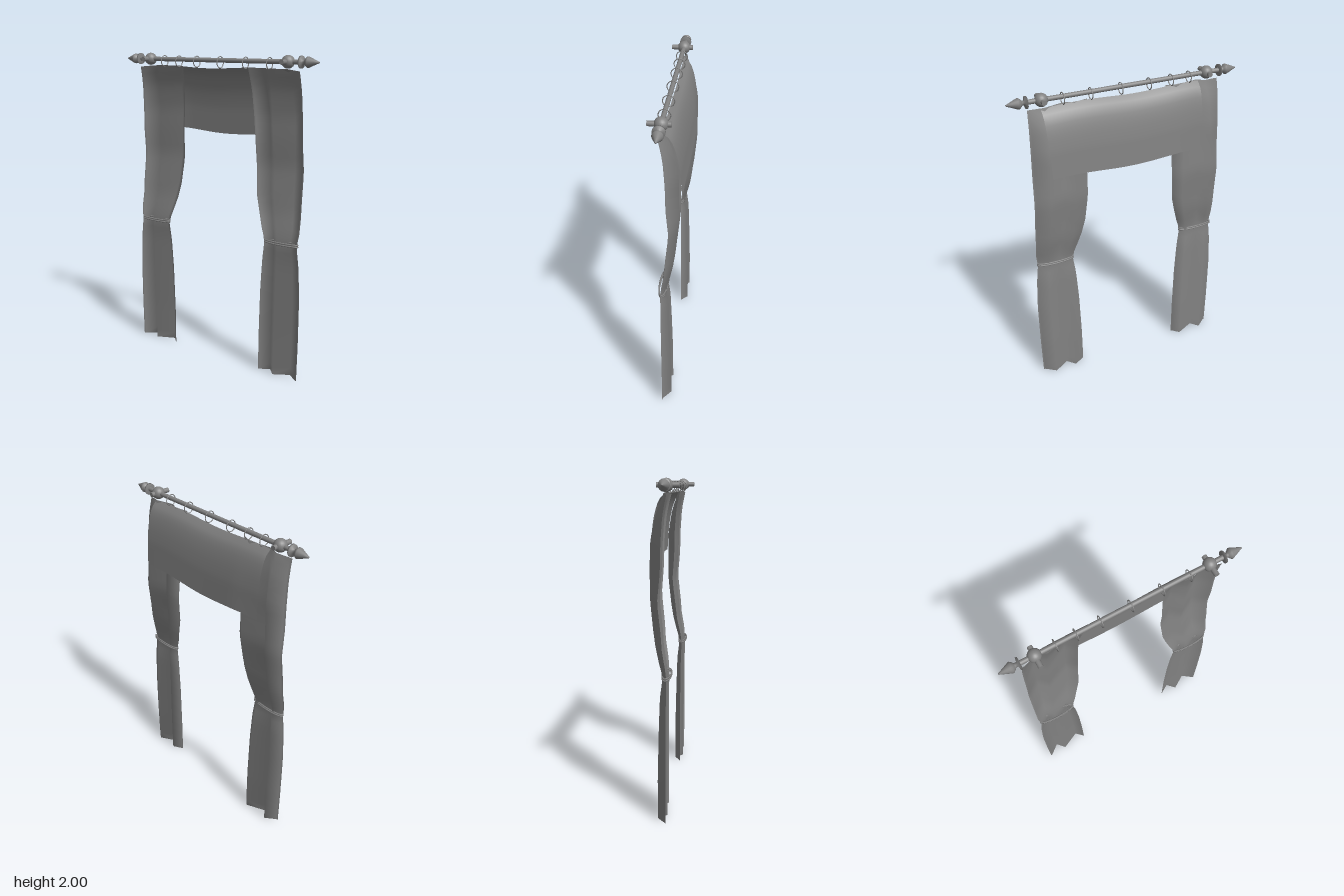
import * as THREE from 'three';

const cloth = new THREE.MeshStandardMaterial({ color: 0x828282, side: THREE.DoubleSide });
const solid = new THREE.MeshStandardMaterial({ color: 0x828282 });
const ROD_Y = 1.96, ROD_Z = 0.018;
const { lerp } = THREE.MathUtils;

// Piecewise-linear lookup in a list of [key, value, value...] rows with ascending keys
function sample(rows, t, col = 1) {
  if (t <= rows[0][0]) return rows[0][col];
  for (let i = 1; i < rows.length; i++) {
    const a = rows[i - 1], b = rows[i];
    if (t <= b[0]) return lerp(a[col], b[col], (t - a[0]) / (b[0] - a[0]));
  }
  return rows[rows.length - 1][col];
}

function add(group, name, geometry, material, x = 0, y = 0, z = 0) {
  const mesh = new THREE.Mesh(geometry, material);
  mesh.name = name;
  mesh.position.set(x, y, z);
  group.add(mesh);
  return mesh;
}

// Cloth sheet from a rule point(column, row) -> [x, y, z]
function sheet(columns, rows, point) {
  const g = new THREE.PlaneGeometry(1, 1, columns, rows);
  const p = g.attributes.position;
  for (let j = 0; j <= rows; j++)
    for (let i = 0; i <= columns; i++) p.setXYZ(j * (columns + 1) + i, ...point(i, j));
  g.computeVertexNormals();
  return g;
}

// Curtain by height: y, outer x, inner x, front z, back z
const DRAPE = [
  [0, 0.638, 0.348, 0.03, -0.035],
  [0.25, 0.643, 0.349, 0.03, -0.035],
  [0.55, 0.644, 0.357, 0.03, -0.027],
  [0.75, 0.634, 0.37, 0.03, -0.02],
  [0.88, 0.618, 0.387, 0.03, -0.003],
  [0.95, 0.63, 0.36, 0.025, -0.022],
  [1.05, 0.628, 0.328, 0.008, -0.045],
  [1.15, 0.627, 0.303, 0.002, -0.06],
  [1.33, 0.624, 0.287, -0.018, -0.078],
  [1.5, 0.62, 0.282, 0, -0.08],
  [1.65, 0.617, 0.272, 0.003, -0.078],
  [1.8, 0.613, 0.262, 0.01, -0.048],
  [1.88, 0.61, 0.254, 0.022, -0.015],
  [1.92, 0.608, 0.25, 0.03, 0.0],
];
// Pleat columns from outer to inner edge: 0 is the front limit, 1 the back limit
const LEFT_PLEATS = [[0, 0.15], [0.04, 0.2], [0.26, 0.95], [0.59, 0.05], [0.76, 0.85], [0.97, 0.3], [1, 0.25]];
const RIGHT_PLEATS = [[0, 0.1], [0.04, 0.15], [0.26, 0.95], [0.42, 0.15], [0.83, 1], [0.98, 0.35], [1, 0.3]];

function curtain(side, pleats) {
  const rows = 40;
  return sheet(pleats.length - 1, rows, (i, j) => {
    // Mirrored columns keep the front of the cloth facing +z
    const [u, depth] = pleats[side > 0 ? pleats.length - 1 - i : i];
    const t = 1 - j / rows, y = 1.92 * t;
    const droop = 0.012 * Math.max(0, 1 - u * 3) * t;
    return [side * lerp(sample(DRAPE, y, 1), sample(DRAPE, y, 2), u), y - droop,
      lerp(sample(DRAPE, y, 3), sample(DRAPE, y, 4), depth)];
  });
}

// Valance depth by drop
const VALANCE = [[0, 0.01], [0.06, -0.02], [0.13, -0.038], [0.25, -0.056],
  [0.4, -0.07], [0.6, -0.082], [1, -0.092]];

function valance() {
  const columns = 28, rows = 14;
  return sheet(columns, rows, (i, j) => {
    const v = j / rows;
    const x = lerp(-0.465, 0.535 - 0.015 * v, i / columns);
    const top = 1.915 + 0.006 * Math.cos((x + 0.4) * 9);
    const bottom = 1.506 - 0.009 * Math.cos(8 * x);
    const forward = 0.07 * Math.max(0, -0.28 - x) * v;
    return [x, lerp(top, bottom, v), sample(VALANCE, v) + forward];
  });
}

// Elliptical cord loop in the horizontal plane
function cord(rx, rz) {
  const pts = [];
  for (let i = 0; i < 20; i++) {
    const a = (i / 20) * Math.PI * 2;
    pts.push(new THREE.Vector3(rx * Math.cos(a), 0, rz * Math.sin(a)));
  }
  return new THREE.TubeGeometry(new THREE.CatmullRomCurve3(pts, true), 48, 0.005, 6, true);
}

export function createModel() {
  const model = new THREE.Group();
  model.name = 'curtains';

  add(model, 'rod', new THREE.CylinderGeometry(0.014, 0.014, 1.24, 16).rotateZ(Math.PI / 2), solid, 0, ROD_Y, ROD_Z);
  add(model, 'valance', valance(), cloth);

  // Spear-shaped end piece: radius and distance along the rod
  const spear = [[0, 0], [0.036, 0], [0.036, 0.01], [0.013, 0.014], [0.013, 0.028],
    [0.02, 0.032], [0.032, 0.046], [0.031, 0.054], [0.016, 0.09], [0.004, 0.12], [0, 0.122]]
    .map(([r, h]) => new THREE.Vector2(r, h));

  for (const [side, label, pleats] of [[1, 'left', LEFT_PLEATS], [-1, 'right', RIGHT_PLEATS]]) {
    add(model, label + 'Curtain', curtain(side, pleats), cloth);

    const tie = new THREE.Group();
    tie.name = label + 'TieBack';
    for (const y of [0.872, 0.884]) add(tie, 'cord', cord(0.119, 0.024), solid, side * 0.503, y, 0.018);
    model.add(tie);

    const finial = add(model, label + 'Finial', new THREE.LatheGeometry(spear, 16), solid, side * 0.608, ROD_Y, ROD_Z);
    finial.rotation.z = -side * Math.PI / 2;

    // Ball bracket with a stub through it
    const bracket = new THREE.Group();
    bracket.name = label + 'Bracket';
    bracket.position.set(side * 0.525, ROD_Y, ROD_Z);
    add(bracket, 'ball', new THREE.SphereGeometry(0.039, 20, 14), solid);
    add(bracket, 'stub', new THREE.CylinderGeometry(0.015, 0.015, 0.13, 16).rotateX(Math.PI / 2), solid, 0, 0, 0.01);
    model.add(bracket);
  }

  // Hanging rings
  for (const x of [-0.405, -0.285, -0.14, 0.042, 0.23, 0.4])
    add(model, 'ring', new THREE.TorusGeometry(0.034, 0.003, 6, 24).rotateY(Math.PI / 2), solid, x, ROD_Y - 0.012, ROD_Z);

  return model;
}
